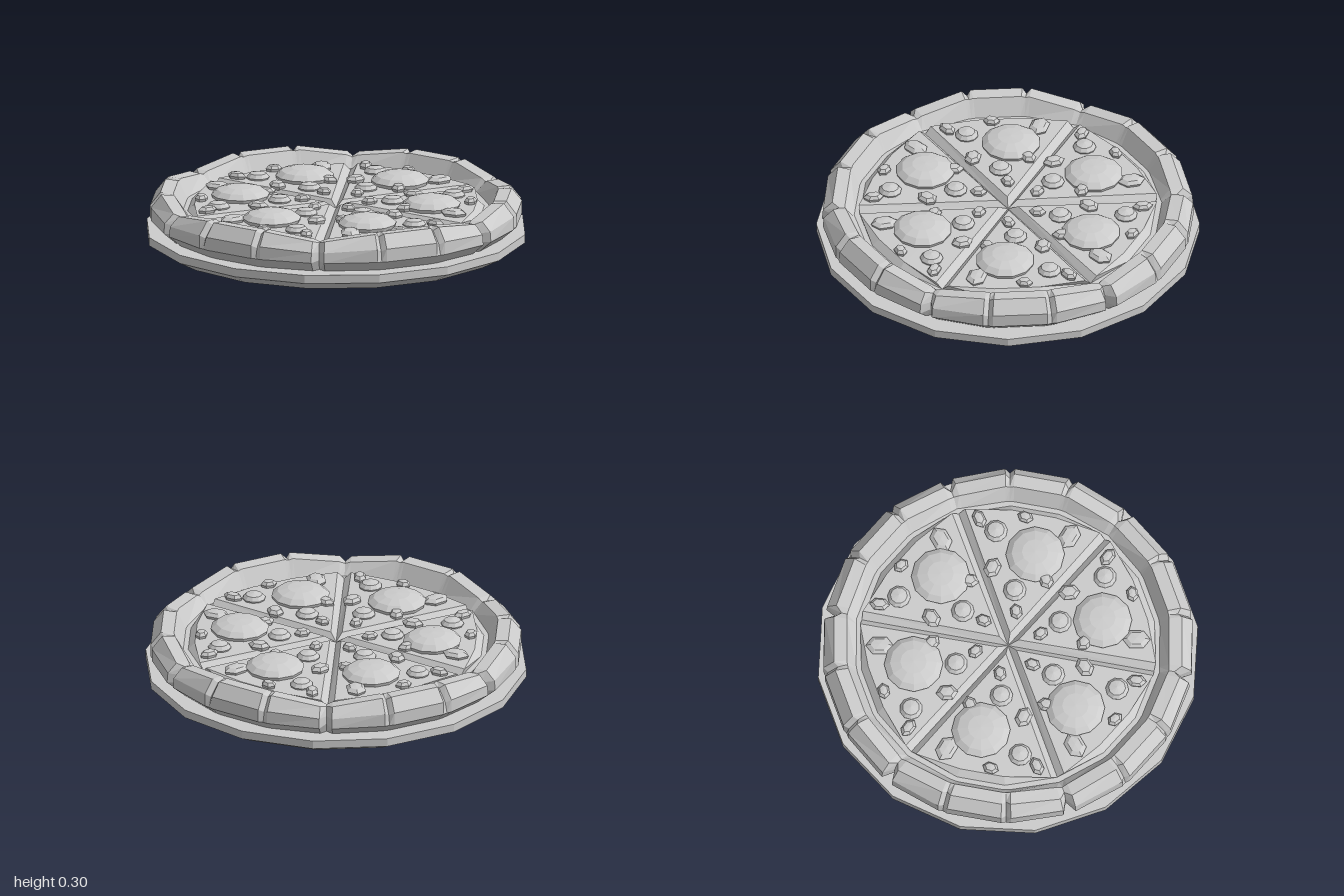
import * as THREE from 'three';

const mat = new THREE.MeshStandardMaterial({ color: 0xcccccc, flatShading: true });
const rad = THREE.MathUtils.degToRad;

function addMesh(parent, geometry, name) {
  const mesh = new THREE.Mesh(geometry, mat);
  mesh.name = name;
  parent.add(mesh);
  return mesh;
}

// Skins quads between successive rings of [x, y, z] points
function loft(rings, closed) {
  const pos = [];
  for (let i = 0; i < rings.length - 1; i++) {
    const a = rings[i], b = rings[i + 1], n = a.length;
    for (let j = 0; j < (closed ? n : n - 1); j++) {
      const k = (j + 1) % n;
      pos.push(...a[j], ...b[j], ...b[k], ...a[j], ...b[k], ...a[k]);
    }
  }
  const g = new THREE.BufferGeometry();
  g.setAttribute('position', new THREE.Float32BufferAttribute(pos, 3));
  g.computeVertexNormals();
  return g;
}

function lathe(points, sides) {
  return new THREE.LatheGeometry(points.map(p => new THREE.Vector2(...p)), sides);
}

// Crust: cross-sections [radius, height] swept over one sixth, pinched at the cuts
const FULL = [[0.92, 0.1], [0.99, 0.16], [0.99, 0.23], [0.935, 0.3], [0.865, 0.295], [0.815, 0.2]];
const DENT = [[0.92, 0.1], [0.985, 0.16], [0.97, 0.215], [0.915, 0.28], [0.865, 0.29], [0.815, 0.2]];
const END = [[0.92, 0.1], [0.99, 0.16], [0.985, 0.215], [0.935, 0.265], [0.865, 0.262], [0.815, 0.2]];
const CUT = [[0.89, 0.1], [0.925, 0.16], [0.925, 0.205], [0.9, 0.25], [0.87, 0.25], [0.82, 0.2]];
const SECTIONS = [[-30, CUT], [-28, END], [-11.5, FULL], [-10, DENT], [-8.5, FULL],
  [8.5, FULL], [10, DENT], [11.5, FULL], [28, END], [30, CUT]];

function crustGeometry() {
  return loft(SECTIONS.map(([deg, profile]) => profile.map(([r, y]) =>
    [r * Math.sin(rad(deg)), y, r * Math.cos(rad(deg))])), false);
}

// Cheese: a low wedge with sloping sides
function cheeseGeometry() {
  const wedge = (tip, points, y) => {
    const right = points.map(([x, z]) => [x, y, z]);
    const left = points.map(([x, z]) => [-x, y, z]).reverse();
    return [[0, y, tip], ...right, ...left];
  };
  const base = wedge(0, [[0.395, 0.684], [0.13, 0.78]], 0.2);
  const top = wedge(0.06, [[0.365, 0.705], [0.12, 0.745]], 0.235);
  return loft([base, top, top.map(() => [0, 0.237, 0.45])], true);
}

const pepperoniGeo = lathe([[0.15, 0], [0.157, 0.02], [0.125, 0.045], [0.07, 0.06], [0, 0.064]], 12);
const ballGeo = lathe([[0.058, 0], [0.062, 0.014], [0.045, 0.034], [0, 0.044]], 10);
const chunkGeo = lathe([[0.85, 0], [1, 0.02], [0.65, 0.036], [0, 0.04]], 6);

// Toppings of one slice: x, z (chunks add half length, half width, turn)
const BALLS = [[0.02, 0.3], [0.18, 0.61]];
const CHUNKS = [
  [-0.01, 0.18, 0.045, 0.035, 20], [0.16, 0.4, 0.06, 0.046, -15],
  [-0.13, 0.39, 0.06, 0.04, 30], [-0.21, 0.65, 0.075, 0.056, -20],
  [0.04, 0.715, 0.045, 0.034, 80], [0.28, 0.66, 0.055, 0.036, 35]];

function makeSlice() {
  const slice = new THREE.Group();
  addMesh(slice, crustGeometry(), 'crust');
  addMesh(slice, cheeseGeometry(), 'cheese');

  const pepperoni = addMesh(slice, pepperoniGeo, 'largeTopping');
  pepperoni.position.set(-0.05, 0.234, 0.515);
  pepperoni.rotation.y = 0.2;

  for (const [x, z] of BALLS) {
    addMesh(slice, ballGeo, 'smallTopping').position.set(x, 0.23, z);
  }
  for (const [x, z, length, width, turn] of CHUNKS) {
    const chunk = addMesh(slice, chunkGeo, 'choppedTopping');
    chunk.position.set(x, 0.23, z);
    chunk.scale.set(width, 1, length);
    chunk.rotation.y = rad(turn);
  }
  return slice;
}

export function createModel() {
  const model = new THREE.Group();
  model.name = 'pizza';

  // Sixteen-sided plate with a bevelled foot
  const plate = addMesh(model,
    lathe([[0, 0], [0.915, 0], [1.0196, 0.055], [1.0196, 0.1], [0, 0.1]], 16), 'plate');
  plate.rotation.y = Math.PI / 16;

  // Sauce bed under the cheese
  const sauce = addMesh(model, new THREE.CylinderGeometry(0.84, 0.84, 0.1, 36), 'sauce');
  sauce.position.y = 0.149;

  const first = makeSlice();
  for (let i = 0; i < 6; i++) {
    const slice = first.clone();
    slice.name = 'slice';
    slice.rotation.y = i * Math.PI / 3;
    model.add(slice);
  }
  return model;
}
